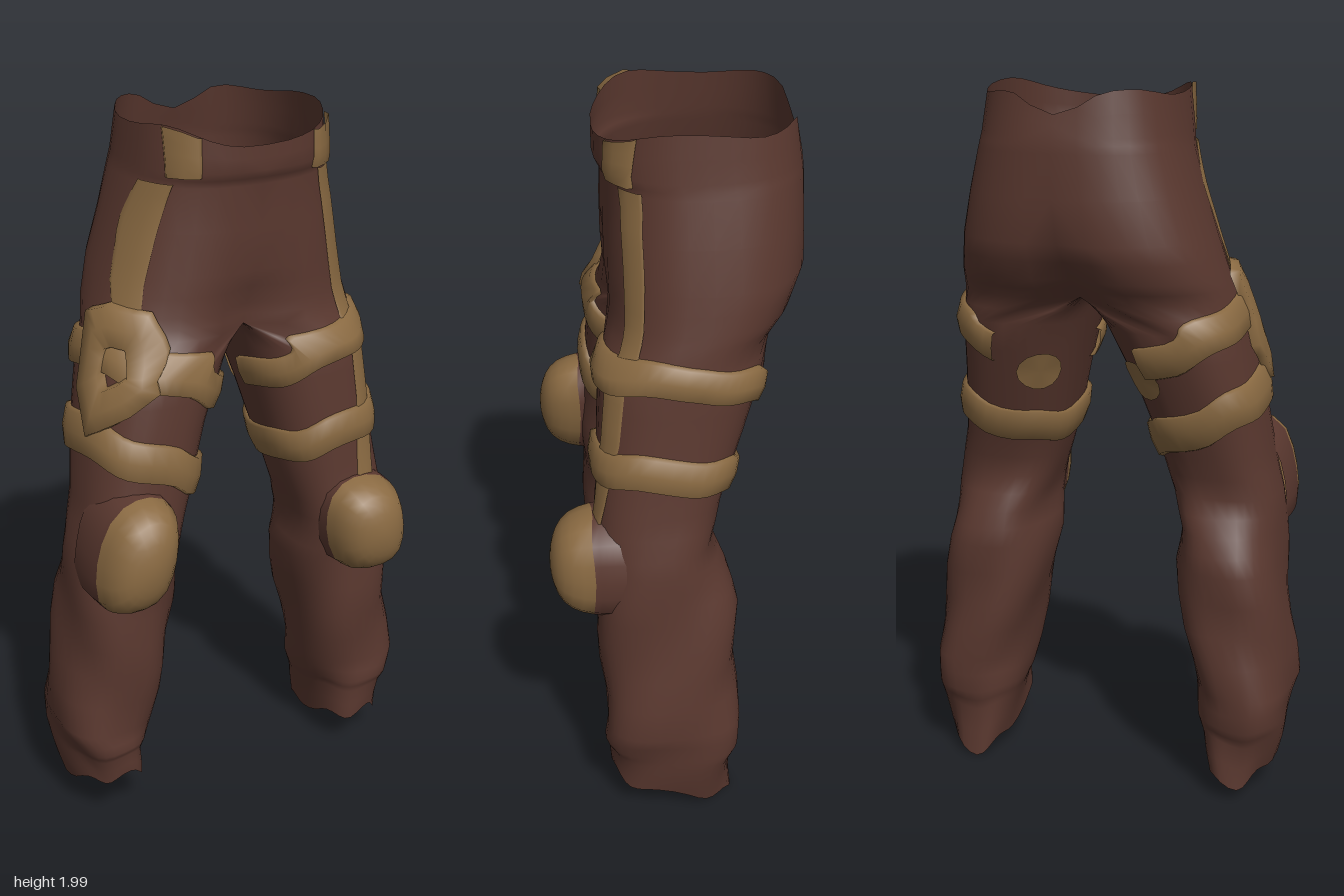
import * as THREE from 'three';
import { mergeVertices, mergeGeometries } from 'three/addons/utils/BufferGeometryUtils.js';

const { sin, cos, PI, abs, sign, max, min } = Math;
const RAD = PI / 180, CROTCH = 1.44, POW = 0.8;
const clamp01 = v => min(1, max(0, v));
const range = (a, b, n) => Array.from({ length: n + 1 }, (_, i) => a + (b - a) * i / n);

// Half-trouser sections: y, inner and outer distance from the middle, back z, front z
const ROWS = [
  [0.06, 0.315, 0.495, -0.14, 0.205],
  [0.18, 0.30, 0.52, -0.14, 0.20],
  [0.23, 0.285, 0.53, -0.16, 0.215],
  [0.32, 0.27, 0.545, -0.155, 0.215],
  [0.50, 0.23, 0.515, -0.15, 0.225],
  [0.68, 0.20, 0.50, -0.15, 0.23],
  [0.78, 0.205, 0.485, -0.12, 0.235],
  [0.88, 0.18, 0.475, -0.085, 0.235],
  [1.00, 0.145, 0.45, -0.11, 0.225],
  [1.20, 0.088, 0.42, -0.175, 0.215],
  [1.36, 0.03, 0.395, -0.225, 0.205],
  [CROTCH, 0, 0.38, -0.265, 0.195],
  [1.50, 0, 0.365, -0.31, 0.185],
  [1.60, 0, 0.34, -0.345, 0.185],
  [1.83, 0, 0.28, -0.335, 0.18],
  [1.87, 0, 0.272, -0.33, 0.20],
  [1.965, 0, 0.258, -0.315, 0.20],
];

// Interpolate a list of points at a fractional index
function at(pts, t) {
  const k = min(pts.length - 2, Math.floor(t)), f = t - k;
  return pts[k].map((v, i) => v + (pts[k + 1][i] - v) * f);
}

function section(y) {
  let k = 0;
  while (k < ROWS.length - 2 && y > ROWS[k + 1][0]) k++;
  const t = clamp01((y - ROWS[k][0]) / (ROWS[k + 1][0] - ROWS[k][0]));
  const [, inner, outer, back, front] = at(ROWS, k + t);
  const mid = 0.04 * clamp01((y - 1.15) / 0.6);
  const cx = (inner + outer) / 2 * clamp01((CROTCH - y) / 0.08);
  return { mid, inner, outer, back, front, cx };
}

// Point on the cloth: angle 0 is outward, 90 degrees is front; s = +1 for the left half
function surf(s, y, th, off = 0) {
  const { mid, inner, outer, back, front, cx } = section(y);
  const c0 = cos(th), s0 = sin(th);
  const c = sign(c0) * abs(c0) ** POW, q = sign(s0) * abs(s0) ** POW;
  const fold = 0.007 * sin(th * 3 + y * 17) * clamp01((1 - y) / 0.2);
  const crease = max(0, 1 - abs(y - CROTCH) / (y > CROTCH ? 0.2 : 0.08));
  const pinch = 0.32 * crease * (1 - max(0, c)) ** 5;
  const x = cx + c * (c > 0 ? outer - cx : cx - inner) + c0 * (off + fold);
  const z = (back + front) / 2 + q * (front - back) / 2 * (1 - pinch) + s0 * (off + fold);
  // ragged hem and waist edges, with a notch at the centre back
  const hem = clamp01((0.3 - y) / 0.24), rim = max(0, (y - 1.87) / 0.095);
  const lift = hem * (0.055 * s0 + (s > 0 ? 0.015 : 0.05) + 0.015 * sin(5 * th + s))
    + rim * (0.015 - 0.045 * max(0, s0) ** 4 - 0.055 * max(0, -s0) ** 30 + 0.012 * sin(4 * th + s) * c0);
  return [mid + s * x, y + lift, z];
}

// Grid surface; u runs with the angle and v runs upward
function grid(us, vs, fn, flip, skip = () => false) {
  const pos = [], idx = [], n = us.length;
  for (const v of vs) for (const u of us) pos.push(...fn(u, v));
  for (let j = 0; j < vs.length - 1; j++) for (let i = 0; i < n - 1; i++) {
    if (skip(us[i], vs[j])) continue;
    const a = j * n + i, b = a + n, c = a + 1, d = b + 1;
    idx.push(...(flip ? [a, c, b, b, c, d] : [a, b, c, b, d, c]));
  }
  const g = new THREE.BufferGeometry();
  g.setAttribute('position', new THREE.Float32BufferAttribute(pos, 3));
  g.setIndex(idx);
  return g;
}

export function createModel() {
  const root = new THREE.Group();
  const cloth = new THREE.MeshStandardMaterial({ color: 0x5a382f, side: THREE.DoubleSide });
  cloth.name = 'dark brown cloth';
  const leather = new THREE.MeshStandardMaterial({ color: 0x8a6a42, side: THREE.DoubleSide });
  leather.name = 'tan leather';
  function add(name, geo, mat = leather) {
    const g = mergeVertices(geo, 1e-4);
    g.computeVertexNormals();
    const mesh = new THREE.Mesh(g, mat);
    mesh.name = name;
    root.add(mesh);
  }

  // Trousers: two halves joined along the centre seam, open at waist and hems
  const levels = range(0, (ROWS.length - 1) * 2, (ROWS.length - 1) * 2).map(i => at(ROWS, i / 2)[0]);
  const angles = range(-PI / 2, PI * 1.5, 36);
  add('trousers', mergeGeometries([1, -1].map(s => grid(angles, levels, (th, y) => surf(s, y, th), s < 0,
    (th, y) => y > CROTCH - 1e-6 && th > PI / 2 - 1e-4))), cloth);

  // Straps wrapped round the thighs, with a raised cross-section
  const profile = [[-0.5, 0], [-0.46, 0.015], [0, 0.021], [0.46, 0.015], [0.5, 0]];
  function strap(name, s, from, to, base, rise, front, width) {
    add(name, grid(range(from * RAD, to * RAD, 36), [0, 1, 2, 3, 4], (th, k) => {
      const [h, off] = profile[k];
      const y = base + rise * cos(th) + front * sin(th) + 0.007 * sin(5 * th) + h * width;
      return surf(s, y, th, off);
    }, s < 0));
  }
  strap('leftUpperStrap', 1, -85, 175, 1.32, 0.06, 0.03, 0.085);
  strap('leftLowerStrap', 1, -180, 180, 1.085, 0.04, 0.025, 0.095);
  strap('rightUpperStrap', -1, -110, 175, 1.32, 0.075, 0.025, 0.09);
  strap('rightLowerStrap', -1, -180, 180, 1.105, 0.075, 0.015, 0.105);

  // Flat strips on the front, placed by x and y
  function strip(name, s, pts, width, off) {
    const steps = pts.length - 1;
    add(name, grid([0.5, 0.42, 0, -0.42, -0.5], range(0, steps, steps * 4), (u, t) => {
      const [px, y] = at(pts, t);
      const { mid, inner, outer, cx } = section(y);
      const d = s * (px - mid) - cx + u * width;
      const c = max(-1, min(1, d / (d > 0 ? outer - cx : cx - inner)));
      const th = Math.acos(sign(c) * abs(c) ** (1 / POW));
      return surf(s, y, th, abs(u) > 0.45 ? 0.002 : off);
    }, s < 0));
  }
  strip('leftSideStripe', 1, [[0.36, 0.95], [0.36, 1.2], [0.345, 1.35], [0.31, 1.5], [0.285, 1.65], [0.25, 1.84]], 0.055, 0.007);
  strip('rightSideStripe', -1, [[-0.305, 1.48], [-0.285, 1.58], [-0.25, 1.7], [-0.205, 1.84]], 0.05, 0.007);
  strip('leftBeltLoop', 1, [[0.228, 1.85], [0.228, 1.965]], 0.072, 0.015);
  strip('rightBeltLoop', -1, [[-0.16, 1.86], [-0.16, 1.965]], 0.07, 0.015);

  // Looped holster piece on the right thigh, as angle and y, with an opening in the middle
  const outline = [[3, 1.5], [18, 1.53], [45, 1.52], [58, 1.43], [75, 1.33], [55, 1.27], [15, 1.19], [0, 1.3], [3, 1.5]];
  const rings = [[0.3, 0], [0.33, 0.03], [0.65, 0.036], [0.96, 0.03], [1, 0.005]];
  add('rightHolsterLoop', grid(range(0, 8, 24), [0, 1, 2, 3, 4], (t, k) => {
    const [deg, y] = at(outline, t), [r, off] = rings[k];
    return surf(-1, 1.385 + (y - 1.385) * r, (30 + (deg - 30) * r) * RAD, off);
  }, true));

  // Round patches on the inner back of the thighs
  for (const [name, s] of [['leftThighPatch', 1], ['rightThighPatch', -1]]) {
    add(name, grid(range(0, 2 * PI, 14), [0, 1], (a, r) =>
      surf(s, 1.22 + 0.055 * r * sin(a), (-122 - 22 * r * cos(a)) * RAD, 0.008), s > 0));
  }

  // Domed knees: a tan cap over a cloth base
  function knee(name, mat, [x, y, rx, ry, lean], from, length) {
    const g = new THREE.SphereGeometry(1, 18, 8, 0, PI * 2, from, length).rotateX(PI / 2);
    const p = g.attributes.position, v = new THREE.Vector3();
    for (let i = 0; i < p.count; i++) {
      v.fromBufferAttribute(p, i);
      v.multiplyScalar(0.5 + 0.5 / (v.x ** 4 + v.y ** 4 + v.z ** 4) ** 0.25);
      p.setXYZ(i, x + v.x * rx + v.y * lean, y + v.y * ry, 0.165 + v.z * 0.19);
    }
    g.deleteAttribute('normal');
    g.deleteAttribute('uv');
    add(name, g, mat);
  }
  for (const [side, shape] of [
    ['left', [0.348, 0.82, 0.122, 0.15, -0.012]], ['right', [-0.37, 0.895, 0.113, 0.165, 0.03]]]) {
    knee(side + 'KneePad', leather, shape, 0, 1.2);
    knee(side + 'KneeBase', cloth, shape, 1.2, 0.7);
  }
  return root;
}
